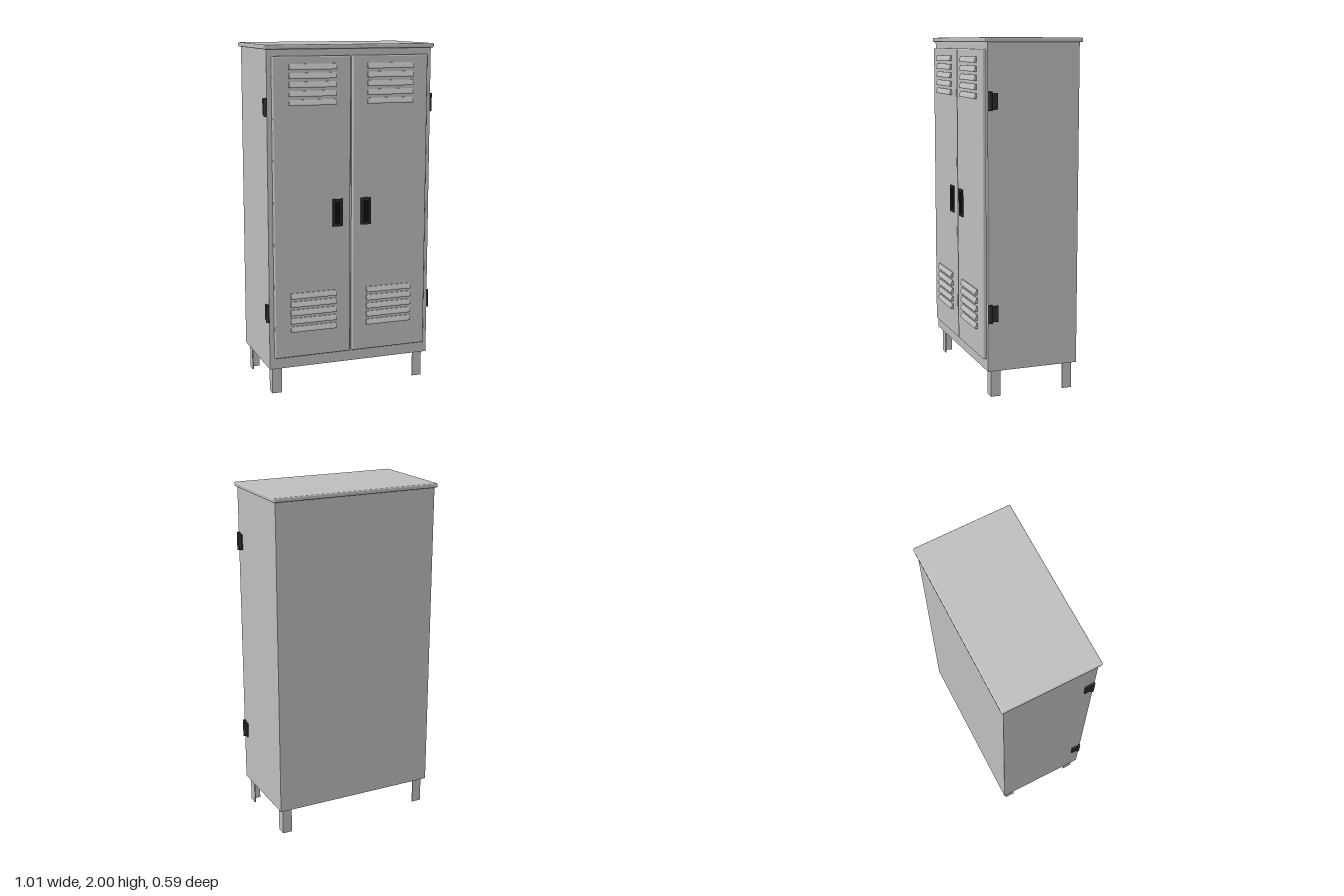
import * as THREE from 'three';
import { RoundedBoxGeometry } from 'three/addons/geometries/RoundedBoxGeometry.js';

const paint = new THREE.MeshStandardMaterial({ color: 0xbebebe });
paint.name = 'grey paint';
const darkMetal = new THREE.MeshStandardMaterial({ color: 0x2c2c2c });
darkMetal.name = 'dark metal';
const black = new THREE.MeshStandardMaterial({ color: 0x0c0c0c });
black.name = 'black recess';

function add(parent, name, geometry, material, x = 0, y = 0, z = 0) {
  const mesh = new THREE.Mesh(geometry, material);
  mesh.name = name;
  mesh.position.set(x, y, z);
  parent.add(mesh);
  return mesh;
}

// Box given by its minimum and maximum corners; a radius rounds its edges
function block(parent, name, material, [x0, y0, z0], [x1, y1, z1], radius = 0) {
  const size = [x1 - x0, y1 - y0, z1 - z0];
  const geometry = radius
    ? new RoundedBoxGeometry(...size, 3, radius)
    : new THREE.BoxGeometry(...size);
  return add(parent, name, geometry, material, (x0 + x1) / 2, (y0 + y1) / 2, (z0 + z1) / 2);
}

// Sloping louvre hood, profile in (z, y), extruded along x
function louvreGeometry(width) {
  const profile = new THREE.Shape([
    [0, -0.016], [0.015, -0.016], [0.015, -0.009], [0.006, 0.016], [0, 0.016],
  ].map(([z, y]) => new THREE.Vector2(z, y)));
  const geometry = new THREE.ExtrudeGeometry(profile, { depth: width, bevelEnabled: false });
  geometry.translate(0, 0, -width / 2);
  geometry.rotateY(-Math.PI / 2); // profile depth now points to +z
  return geometry;
}

// Handle surround with an open centre
function handleFrameGeometry() {
  const rect = (target, w, h) => {
    target.moveTo(-w, -h);
    target.lineTo(w, -h);
    target.lineTo(w, h);
    target.lineTo(-w, h);
    target.closePath();
    return target;
  };
  const shape = rect(new THREE.Shape(), 0.031, 0.079);
  shape.holes.push(rect(new THREE.Path(), 0.017, 0.064));
  return new THREE.ExtrudeGeometry(shape, { depth: 0.009, bevelEnabled: false });
}

// Angle-iron leg with its outer corner at the origin, open towards -x and towards inward z
function legGeometry(inward) {
  const w = 0.057, t = 0.006, s = inward;
  const shape = new THREE.Shape([
    [0, 0], [-w, 0], [-w, t * s], [-t, t * s], [-t, w * s], [0, w * s],
  ].map(([x, z]) => new THREE.Vector2(x, -z)));
  const geometry = new THREE.ExtrudeGeometry(shape, { depth: 0.158, bevelEnabled: false });
  geometry.rotateX(-Math.PI / 2);
  return geometry;
}

// Mirrored leg: reflect across x and turn the triangles back outwards
function mirrorX(geometry) {
  const g = geometry.toNonIndexed ? (geometry.index ? geometry.toNonIndexed() : geometry.clone()) : geometry;
  g.scale(-1, 1, 1);
  const p = g.attributes.position;
  const a = new THREE.Vector3(), b = new THREE.Vector3();
  for (let i = 0; i < p.count; i += 3) {
    a.fromBufferAttribute(p, i);
    b.fromBufferAttribute(p, i + 1);
    p.setXYZ(i, b.x, b.y, b.z);
    p.setXYZ(i + 1, a.x, a.y, a.z);
  }
  g.computeVertexNormals();
  return g;
}

export function createModel() {
  const model = new THREE.Group();
  model.name = 'locker';

  // Cabinet and overhanging lid
  block(model, 'cabinet', paint, [-0.49, 0.155, -0.278], [0.49, 1.98, 0.257]);
  block(model, 'lid', paint, [-0.504, 1.975, -0.293], [0.504, 2, 0.272], 0.007);

  const louvre = louvreGeometry(0.277);
  const handleFrame = handleFrameGeometry();

  for (const side of [-1, 1]) {
    const label = side > 0 ? 'left' : 'right';

    // Door with louvres and handle
    const door = new THREE.Group();
    door.name = label + 'Door';
    model.add(door);
    const near = side * 0.006, far = side * 0.463;
    block(door, 'doorPanel', paint,
      [Math.min(near, far), 0.221, 0.25], [Math.max(near, far), 1.938, 0.278], 0.008);
    for (const top of [1.88, 0.585]) {
      for (let i = 0; i < 5; i++) {
        add(door, 'louvre', louvre, paint, side * 0.231, top - i * 0.049, 0.277);
      }
    }
    add(door, 'handleFrame', handleFrame, darkMetal, side * 0.086, 1.053, 0.277);
    block(door, 'handleRecess', black,
      [side * 0.086 - 0.018, 0.988, 0.276], [side * 0.086 + 0.018, 1.118, 0.28]);

    // Hinges: leaf on the cabinet side and barrel near the front
    for (const y of [1.661, 0.486]) {
      const hinge = new THREE.Group();
      hinge.name = label + 'Hinge';
      hinge.position.set(side * 0.493, y, 0);
      model.add(hinge);
      add(hinge, 'hingeLeaf', new THREE.BoxGeometry(0.012, 0.09, 0.055), darkMetal, 0, 0, 0.228);
      add(hinge, 'hingeBarrel', new THREE.CylinderGeometry(0.013, 0.013, 0.103, 16),
        darkMetal, 0, 0, 0.245);
    }

    // Angle-iron legs, front and back
    for (const [name, z, inward] of [['FrontLeg', 0.234, -1], ['BackLeg', -0.257, 1]]) {
      let geometry = legGeometry(inward);
      if (inward * side < 0) geometry = geometry.clone();
      if (side < 0) geometry = mirrorX(geometry);
      add(model, label + name, geometry, paint, side * 0.47, 0, z);
    }
  }
  return model;
}
